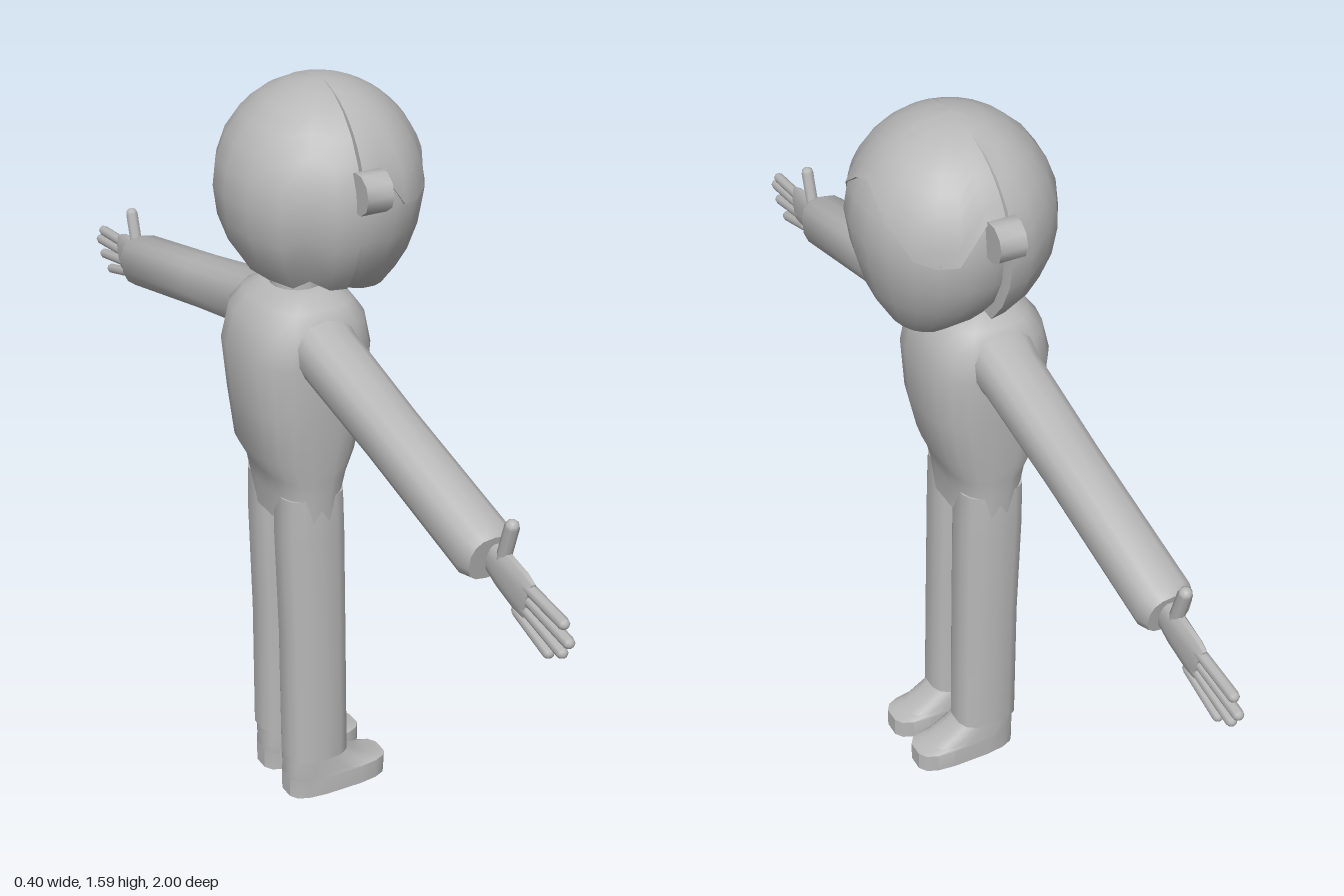
import * as THREE from 'three';
import { toCreasedNormals } from 'three/addons/utils/BufferGeometryUtils.js';

const grey = new THREE.MeshStandardMaterial({ color: 0xb8b8b8 });
grey.name = 'plain grey';
const MID = 0.009; // body centre line in z

function add(parent, name, geometry) {
  const mesh = new THREE.Mesh(geometry, grey);
  mesh.name = name;
  parent.add(mesh);
  return mesh;
}

// Skin closed rings of points (ascending) and close both ends
function skin(rings, crease = 0.75) {
  const n = rings[0].length;
  const pos = rings.flat(2), index = [];
  const centre = (ring) => [0, 1, 2].map((k) => ring.reduce((s, p) => s + p[k], 0) / n);
  pos.push(...centre(rings[0]), ...centre(rings[rings.length - 1]));
  const bottom = rings.length * n, top = bottom + 1, last = (rings.length - 1) * n;
  for (let j = 0; j < n; j++) {
    const k = (j + 1) % n;
    for (let i = 0; i < rings.length - 1; i++) {
      const a = i * n + j, b = i * n + k;
      index.push(a, a + n, b, b, a + n, b + n);
    }
    index.push(bottom, j, k, top, last + k, last + j);
  }
  const geo = new THREE.BufferGeometry();
  geo.setAttribute('position', new THREE.Float32BufferAttribute(pos, 3));
  geo.setIndex(index);
  return toCreasedNormals(geo, crease);
}

// Rows: [y, xMin, xMax, half depth, centre z]; power above 2 makes it boxier
function loft(rows, segs = 16, power = 2.5, crease) {
  const curve = (v) => Math.sign(v) * Math.abs(v) ** (2 / power);
  return skin(rows.map(([y, x0, x1, hz, cz = 0]) =>
    Array.from({ length: segs }, (_, j) => {
      const t = ((j + 0.5) / segs) * Math.PI * 2;
      return [(x0 + x1) / 2 + curve(Math.cos(t)) * (x1 - x0) / 2, y, cz + curve(Math.sin(t)) * hz];
    })), crease);
}

// Rounded rod between two points
function rod(a, b, r) {
  const from = new THREE.Vector3(...a), to = new THREE.Vector3(...b);
  const dir = to.clone().sub(from);
  const geo = new THREE.CapsuleGeometry(r, dir.length(), 3, 8);
  geo.applyQuaternion(new THREE.Quaternion().setFromUnitVectors(new THREE.Vector3(0, 1, 0), dir.normalize()));
  return geo.translate(...from.add(to).multiplyScalar(0.5).toArray());
}

// Hair cap: a dome whose lower edge follows a hairline given by angle from the front
function hairGeometry() {
  const line = [[0, 1.49], [12, 1.475], [25, 1.44], [43, 1.385], [55, 1.375], [67, 1.38], [82, 1.455],
    [94, 1.46], [96, 1.205], [110, 1.205], [125, 1.235], [140, 1.205], [160, 1.215], [180, 1.22]];
  const full = [...line, ...line.slice(1, -1).reverse().map(([a, y]) => [360 - a, y])];
  const cy = 1.38;
  const point = (deg, y, k = 1) => {
    const ry = y > cy ? 0.207 : 0.235;
    const r = Math.sqrt(Math.max(0, 1 - ((y - cy) / ry) ** 2)) * k;
    const t = deg * Math.PI / 180;
    return [Math.cos(t) * 0.205 * r, y, MID + Math.sin(t) * 0.212 * r];
  };
  const rings = [full.map(([a, y]) => point(a, y + 0.012, 0.6)), full.map(([a, y]) => point(a, y))];
  const steps = 9;
  for (let i = 1; i <= steps; i++) {
    rings.push(full.map(([a, y]) => {
      const low = Math.asin((y - cy) / (y > cy ? 0.207 : 0.235));
      const s = Math.sin(low + (Math.PI / 2 - 0.06 - low) * i / steps);
      return point(a, cy + s * (s > 0 ? 0.207 : 0.235));
    }));
  }
  return skin(rings, 0.8);
}

export function createModel() {
  const model = new THREE.Group();
  model.name = 'figure';

  // Head
  const head = new THREE.Group();
  head.name = 'head';
  model.add(head);
  add(head, 'face', loft([
    [1.143, 0.065, 0.095, 0.03], [1.17, 0.005, 0.13, 0.085], [1.205, -0.07, 0.152, 0.125],
    [1.25, -0.11, 0.172, 0.16], [1.31, -0.13, 0.188, 0.187], [1.38, -0.13, 0.198, 0.198],
    [1.44, -0.12, 0.188, 0.19], [1.5, -0.1, 0.158, 0.16], [1.55, -0.05, 0.08, 0.08],
  ].map((r) => [...r, MID]), 20, 2.1, 0.9));
  add(head, 'hair', hairGeometry());
  for (const s of [1, -1]) {
    const ear = new THREE.CylinderGeometry(0.041, 0.041, 0.055, 10);
    ear.rotateZ(Math.PI / 2).translate(-0.003, 1.425, MID + s * 0.208);
    add(head, s > 0 ? 'leftEar' : 'rightEar', toCreasedNormals(ear, 0.8));
  }
  add(model, 'neck', new THREE.CylinderGeometry(0.052, 0.055, 0.12, 14).translate(-0.05, 1.21, MID));

  // Torso down to the crotch
  add(model, 'torso', loft([
    [0.68, -0.125, 0.018, 0.115], [0.74, -0.13, 0.02, 0.118], [0.78, -0.138, 0.03, 0.122],
    [0.83, -0.165, 0.052, 0.128], [0.94, -0.18, 0.078, 0.134], [1.05, -0.19, 0.085, 0.142],
    [1.12, -0.172, 0.07, 0.138], [1.155, -0.145, 0.045, 0.115], [1.178, -0.11, 0.012, 0.075],
  ].map((r) => [...r, MID]), 20, 2.7, 0.9));

  for (const s of [1, -1]) {
    const side = s > 0 ? 'left' : 'right';

    // Trouser leg and shoe
    add(model, side + 'Leg', loft([
      [0.1, -0.115, 0.025, 0.057, MID + s * 0.064], [0.4, -0.118, 0.022, 0.056, MID + s * 0.061],
      [0.65, -0.126, 0.018, 0.058, MID + s * 0.059], [0.74, -0.125, 0.015, 0.056, MID + s * 0.059],
    ], 14, 2.7));
    add(model, side + 'Foot', loft([
      [0, -0.113, 0.122, 0.05], [0.044, -0.113, 0.122, 0.05], [0.05, -0.113, 0.085, 0.049],
      [0.075, -0.112, 0.04, 0.048], [0.11, -0.11, 0.0, 0.047],
    ].map((r) => [...r, MID + s * 0.06]), 16, 3.2, 0.6));

    // Sleeve, slanting down from the shoulder
    const slant = s * 1.802;
    const arm = add(model, side + 'Arm', loft([
      [0, -0.075, 0.075, 0.066], [0.1, -0.062, 0.062, 0.058], [0.35, -0.057, 0.057, 0.055],
      [0.69, -0.056, 0.056, 0.056], [0.712, -0.045, 0.045, 0.048],
    ], 14, 2.6));
    arm.rotation.x = slant;
    arm.position.set(-0.052, 1.095, s * 0.055);

    // Hand: flat palm, four fingers and a thumb
    const hand = new THREE.Group();
    hand.name = side + 'Hand';
    model.add(hand);
    const palm = add(hand, 'palm', loft([
      [0, -0.016, 0.016, 0.03], [0.05, -0.016, 0.016, 0.042],
      [0.11, -0.014, 0.014, 0.046], [0.135, -0.011, 0.011, 0.042],
    ], 12, 2.5, 0.9));
    palm.rotation.x = slant;
    palm.position.set(-0.046, 0.934, s * 0.735);
    const digits = {
      indexFinger: [0.845, 0.931, 0.97, 0.918], middleFinger: [0.85, 0.908, 0.988, 0.89],
      ringFinger: [0.845, 0.886, 0.97, 0.86], littleFinger: [0.83, 0.866, 0.93, 0.837],
    };
    for (const [name, [z0, y0, z1, y1]] of Object.entries(digits)) {
      add(hand, name, rod([-0.046, y0, s * z0], [-0.046, y1, s * z1], 0.0115));
    }
    add(hand, 'thumb', rod([-0.046, 0.925, s * 0.772], [-0.046, 1.021, s * 0.801], 0.014));
  }
  return model;
}
